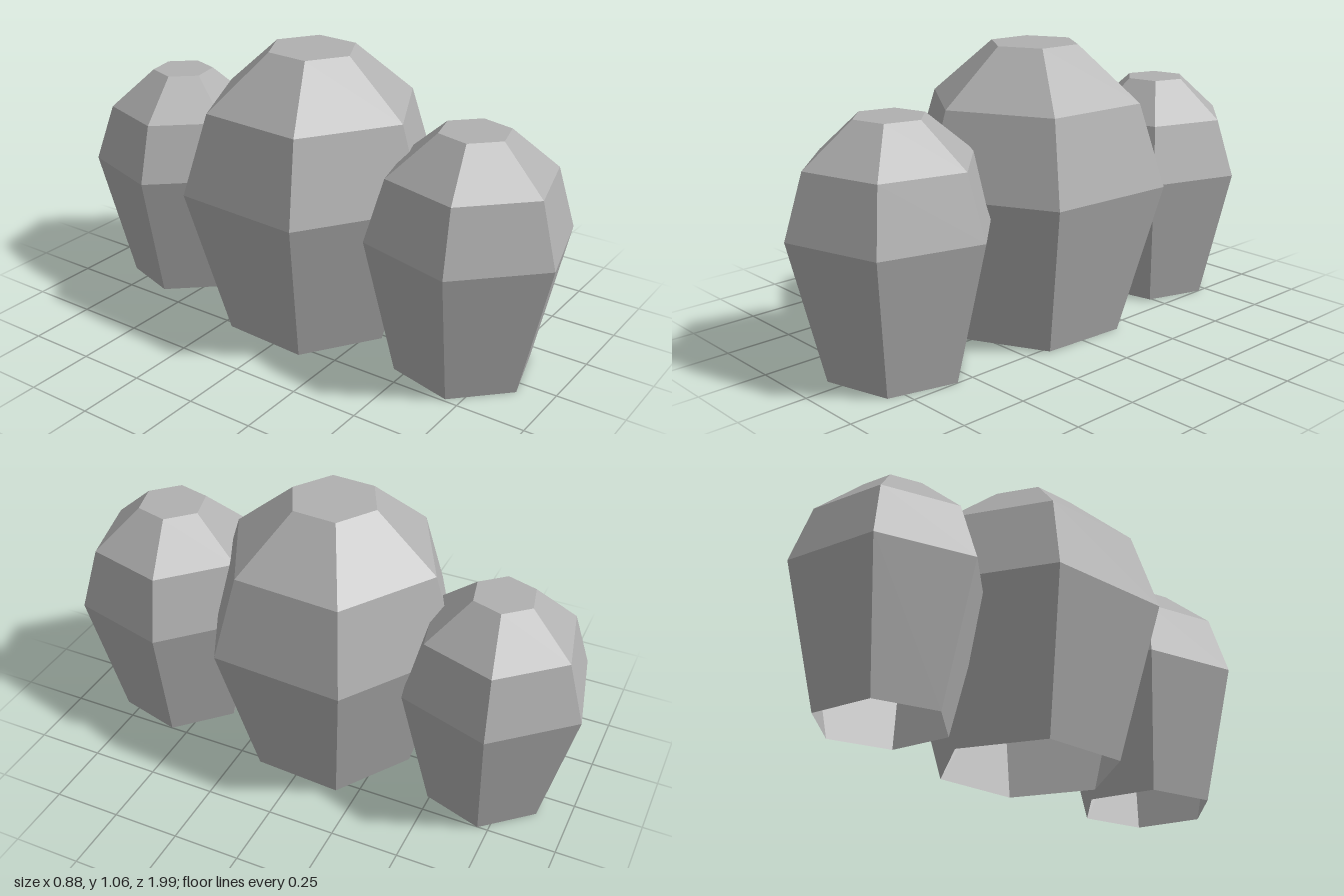
import * as THREE from 'three';

const stone = new THREE.MeshStandardMaterial({ color: 0xb0b0b0, flatShading: true, side: THREE.DoubleSide });
stone.name = 'stone grey';

// Six-sided boulder, open underneath: rings are [radius, height] from the ground up
function makeRock(name, x, z, turn, rings) {
  const top = rings[rings.length - 1][1];
  const profile = [...rings, [0, top]].map(([r, y]) => new THREE.Vector2(r, y));
  const rock = new THREE.Mesh(new THREE.LatheGeometry(profile, 6), stone);
  rock.name = name;
  rock.position.set(x, 0, z);
  rock.rotation.y = THREE.MathUtils.degToRad(turn);
  return rock;
}

export function createModel() {
  const group = new THREE.Group();
  group.name = 'rockCluster';
  group.add(
    makeRock('middleRock', 0, -0.025, 56.4, [[0.33, 0], [0.492, 0.566], [0.397, 0.862], [0.165, 1.06]]),
    makeRock('frontRock', 0.005, 0.632, 45.4, [[0.253, 0], [0.374, 0.51], [0.305, 0.737], [0.128, 0.887]]),
    makeRock('backRock', 0.025, -0.664, 41.9, [[0.231, 0], [0.353, 0.503], [0.282, 0.715], [0.115, 0.86]])
  );
  return group;
}
